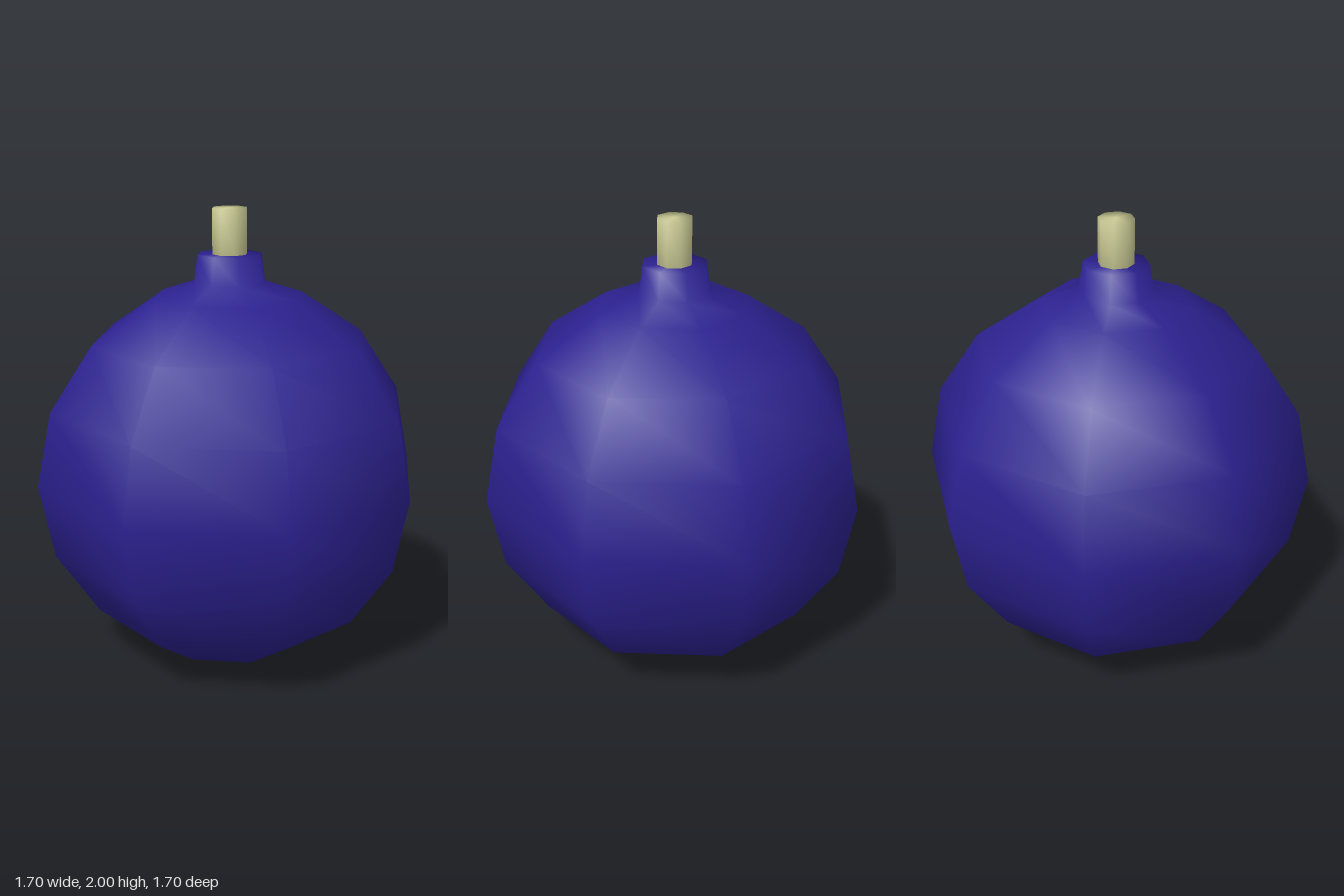
import * as THREE from 'three';
import { mergeVertices } from 'three/addons/utils/BufferGeometryUtils.js';

const SIDES = 8;

// Eight-sided turned part, smooth-shaded across the whole skin.
function turned(name, profile, color) {
  const points = profile.map(([r, y]) => new THREE.Vector2(r, y));
  let geometry = new THREE.LatheGeometry(points, SIDES);
  geometry.deleteAttribute('normal');
  geometry.deleteAttribute('uv');
  geometry = mergeVertices(geometry, 1e-4);
  geometry.computeVertexNormals();
  const mesh = new THREE.Mesh(geometry, new THREE.MeshStandardMaterial({ color }));
  mesh.name = name;
  return mesh;
}

export function createModel() {
  const group = new THREE.Group();
  group.name = 'roundBomb';

  // Ball rings from the bottom pole up, then the collar drawn out of the top
  const radius = 0.848;
  const body = [];
  for (let i = 0; i < SIDES; i++) {
    const a = (i / SIDES) * Math.PI;
    body.push([radius * Math.sin(a), radius * (1 - Math.cos(a))]);
  }
  body.push([0.157, 1.688], [0.14, 1.808], [0, 1.808]);
  group.add(turned('bodyWithCollar', body, 0x2c2190));

  // Short fuse standing in the collar
  group.add(turned('fuse', [[0, 1.8], [0.076, 1.8], [0.076, 2], [0, 2]], 0xcccc96));

  return group;
}
